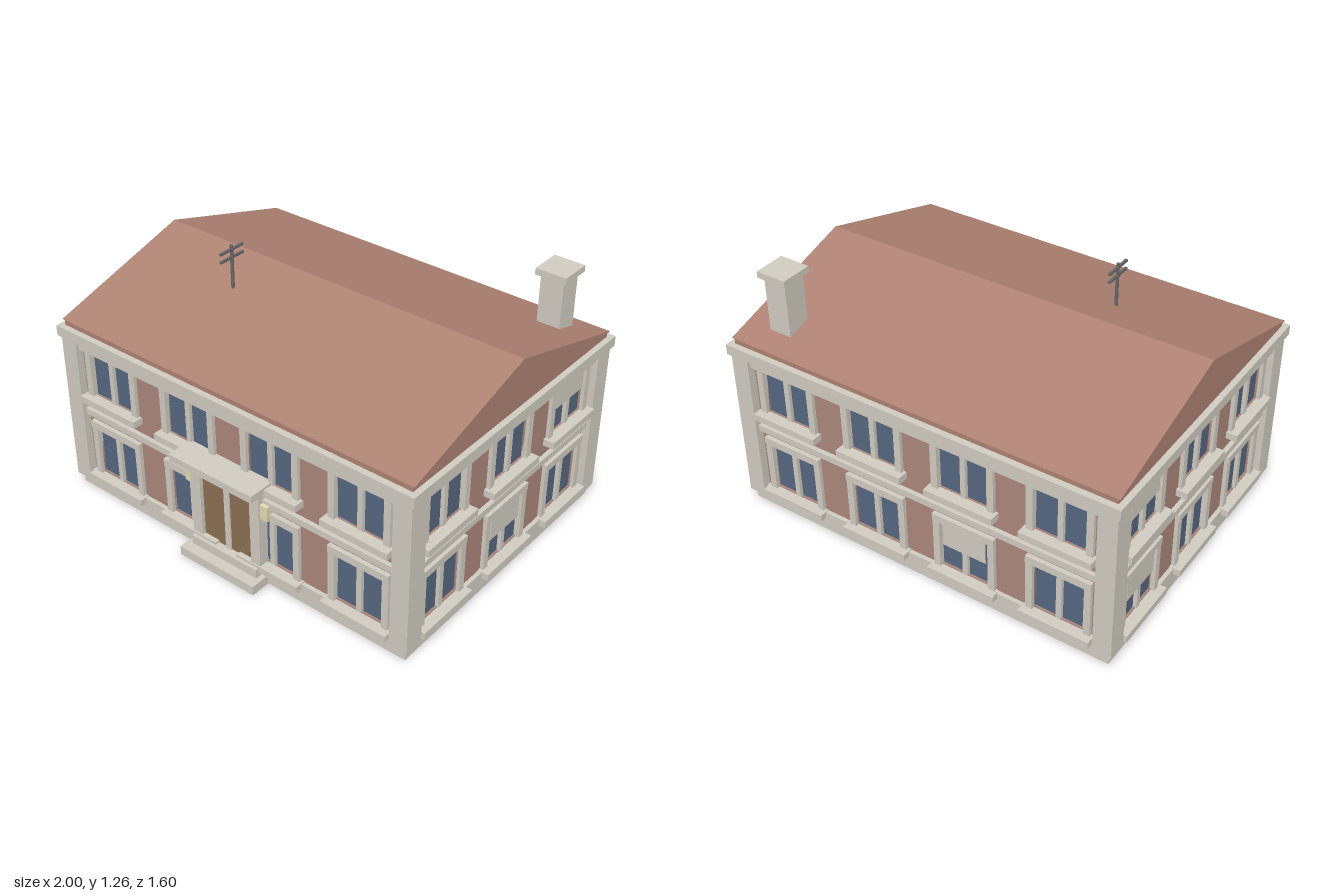
import * as THREE from 'three';

const mat = (color) => new THREE.MeshStandardMaterial({ color, flatShading: true, side: THREE.DoubleSide });
const M = {
  stone: mat(0xd0ccc2), brick: mat(0xac877c), roof: mat(0xae8273), glass: mat(0x55677f),
  door: mat(0x8a6f52), lamp: mat(0xe2dab0), metal: mat(0x666666),
};

// Box given by its minimum and maximum on each axis
function box(parent, name, m, x0, x1, y0, y1, z0, z1) {
  const mesh = new THREE.Mesh(new THREE.BoxGeometry(x1 - x0, y1 - y0, z1 - z0), m);
  mesh.position.set((x0 + x1) / 2, (y0 + y1) / 2, (z0 + z1) / 2);
  mesh.name = name;
  parent.add(mesh);
  return mesh;
}

const ZC = -0.04;                       // centre of the house in z
const HALF_X = 0.945, HALF_Z = 0.705;   // wall faces
const FLOORS = [
  { y0: 0.11, y1: 0.36, sill: 0.07, blind: [0.235, 0.35] },
  { y0: 0.545, y1: 0.775, sill: 0.51, blind: [0.675, 0.772] },
];

// One window: x along the wall, d = distance of the wall face
function addWindow(parent, x, floor, d, hasBlind) {
  const g = new THREE.Group();
  g.name = 'window';
  const { y0, y1, sill, blind } = floor;
  box(g, 'glass', M.glass, x - 0.13, x + 0.13, y0 - 0.005, y1 + 0.005, d - 0.02, d - 0.01);
  box(g, 'mullion', M.stone, x - 0.013, x + 0.013, y0, y1, d - 0.012, d + 0.008);
  for (const s of [-1, 1]) {
    const a = x + s * 0.125, b = x + s * 0.158;
    box(g, 'jamb', M.stone, Math.min(a, b), Math.max(a, b), y0 - 0.01, y1, d - 0.01, d + 0.018);
  }
  box(g, 'lintel', M.stone, x - 0.158, x + 0.158, y1, y1 + 0.037, d - 0.01, d + 0.022);
  box(g, 'sill', M.stone, x - 0.173, x + 0.173, sill, sill + 0.034, d - 0.01, d + 0.054);
  if (hasBlind) box(g, 'blind', M.stone, x - 0.11, x + 0.11, blind[0], blind[1], d + 0.008, d + 0.012);
  parent.add(g);
}

// One facade: pierced wall, plinth, bands and windows, built facing +z
function facade(name, half, d, xs, blinds) {
  const g = new THREE.Group();
  g.name = name;
  const shape = new THREE.Shape();
  shape.moveTo(-half, 0).lineTo(half, 0).lineTo(half, 0.83).lineTo(-half, 0.83).closePath();
  FLOORS.forEach((f, row) => xs.forEach((x, i) => {
    const hole = new THREE.Path();
    hole.moveTo(x - 0.125, f.y0).lineTo(x - 0.125, f.y1).lineTo(x + 0.125, f.y1).lineTo(x + 0.125, f.y0).closePath();
    shape.holes.push(hole);
    addWindow(g, x, f, d, blinds.some(([r, c]) => r === row && c === i));
  }));
  const wall = new THREE.Mesh(new THREE.ExtrudeGeometry(shape, { depth: 0.012, bevelEnabled: false }), M.brick);
  wall.position.z = d - 0.012;
  wall.name = 'wall';
  g.add(wall);
  const w = half - 0.045;
  box(g, 'plinth', M.stone, -half - 0.02, half + 0.02, 0, 0.1, d, d + 0.02);
  box(g, 'stringCourse', M.stone, -w, w, 0.424, 0.456, d - 0.005, d + 0.022);
  box(g, 'frieze', M.stone, -w, w, 0.776, 0.828, d - 0.005, d + 0.024);
  return g;
}

export function createModel() {
  const house = new THREE.Group();
  house.name = 'house';

  // Body, centred on its own axis
  const body = new THREE.Group();
  body.name = 'body';
  body.position.z = ZC;
  house.add(body);
  const longXs = [-0.71, -0.236, 0.236, 0.71], shortXs = [-0.467, 0, 0.467];
  const sides = [
    ['frontFacade', HALF_X, HALF_Z, longXs, [], 0],
    ['leftFacade', HALF_Z, HALF_X, shortXs, [[1, 2], [0, 1]], Math.PI / 2],
    ['backFacade', HALF_X, HALF_Z, longXs, [[0, 2]], Math.PI],
    ['rightFacade', HALF_Z, HALF_X, shortXs, [[1, 0], [0, 0]], -Math.PI / 2],
  ];
  for (const [name, half, d, xs, blinds, turn] of sides) {
    const f = facade(name, half, d, xs, blinds);
    f.rotation.y = turn;
    body.add(f);
  }
  box(body, 'floor', M.stone, -0.935, 0.935, 0.1, 0.105, -0.695, 0.695);

  // Corner pillars
  for (const sx of [-1, 1]) for (const sz of [-1, 1]) {
    const p = box(body, 'cornerPillar', M.stone, -0.0455, 0.0455, 0.05, 0.828, -0.05, 0.05);
    p.position.x = sx * 0.9405;
    p.position.z = sz * 0.695;
  }

  // Cornice, eaves and gabled roof
  box(body, 'cornice', M.stone, -1, 1, 0.825, 0.876, -0.757, 0.757);
  box(body, 'eaves', M.roof, -0.972, 0.972, 0.876, 0.907, -0.727, 0.727);
  const gable = new THREE.Shape();
  gable.moveTo(-0.733, 0.905).lineTo(0.733, 0.905).lineTo(0, 1.118).closePath();
  const roofGeo = new THREE.ExtrudeGeometry(gable, { depth: 1.964, bevelEnabled: false });
  roofGeo.translate(0, 0, -0.982).rotateY(Math.PI / 2);
  const roof = new THREE.Mesh(roofGeo, M.roof);
  roof.name = 'roof';
  body.add(roof);

  // Chimney
  box(house, 'chimneyStack', M.stone, 0.735, 0.85, 0.9, 1.206, -0.663, -0.547);
  box(house, 'chimneyCap', M.stone, 0.717, 0.87, 1.205, 1.236, -0.683, -0.526);

  // Aerial with two cross bars
  const mast = new THREE.Mesh(new THREE.CylinderGeometry(0.008, 0.008, 0.25, 8), M.metal);
  mast.position.set(-0.4, 1.14, 0.183);
  mast.name = 'aerialMast';
  house.add(mast);
  for (const y of [1.205, 1.244]) box(house, 'aerialBar', M.metal, -0.406, -0.394, y - 0.005, y + 0.005, 0.11, 0.257);

  // Entrance: steps, double door, surround, canopy and lamps
  box(house, 'lowerStep', M.stone, -0.218, 0.218, 0, 0.046, 0.66, 0.787);
  box(house, 'upperStep', M.stone, -0.192, 0.192, 0.046, 0.092, 0.66, 0.735);
  box(house, 'doors', M.door, -0.147, 0.147, 0.09, 0.482, 0.66, 0.694);
  box(house, 'doorPost', M.stone, -0.015, 0.015, 0.09, 0.482, 0.66, 0.702);
  box(house, 'doorLintel', M.stone, -0.2, 0.2, 0.482, 0.522, 0.66, 0.713);
  box(house, 'canopy', M.stone, -0.238, 0.238, 0.52, 0.556, 0.66, 0.798);
  for (const s of [-1, 1]) {
    box(house, 'doorJamb', M.stone, -0.027, 0.027, 0.09, 0.482, 0.66, 0.713).position.x = s * 0.172;
    box(house, 'lamp', M.lamp, -0.02, 0.02, 0.365, 0.44, 0.665, 0.705).position.x = s * 0.22;
  }
  return house;
}
